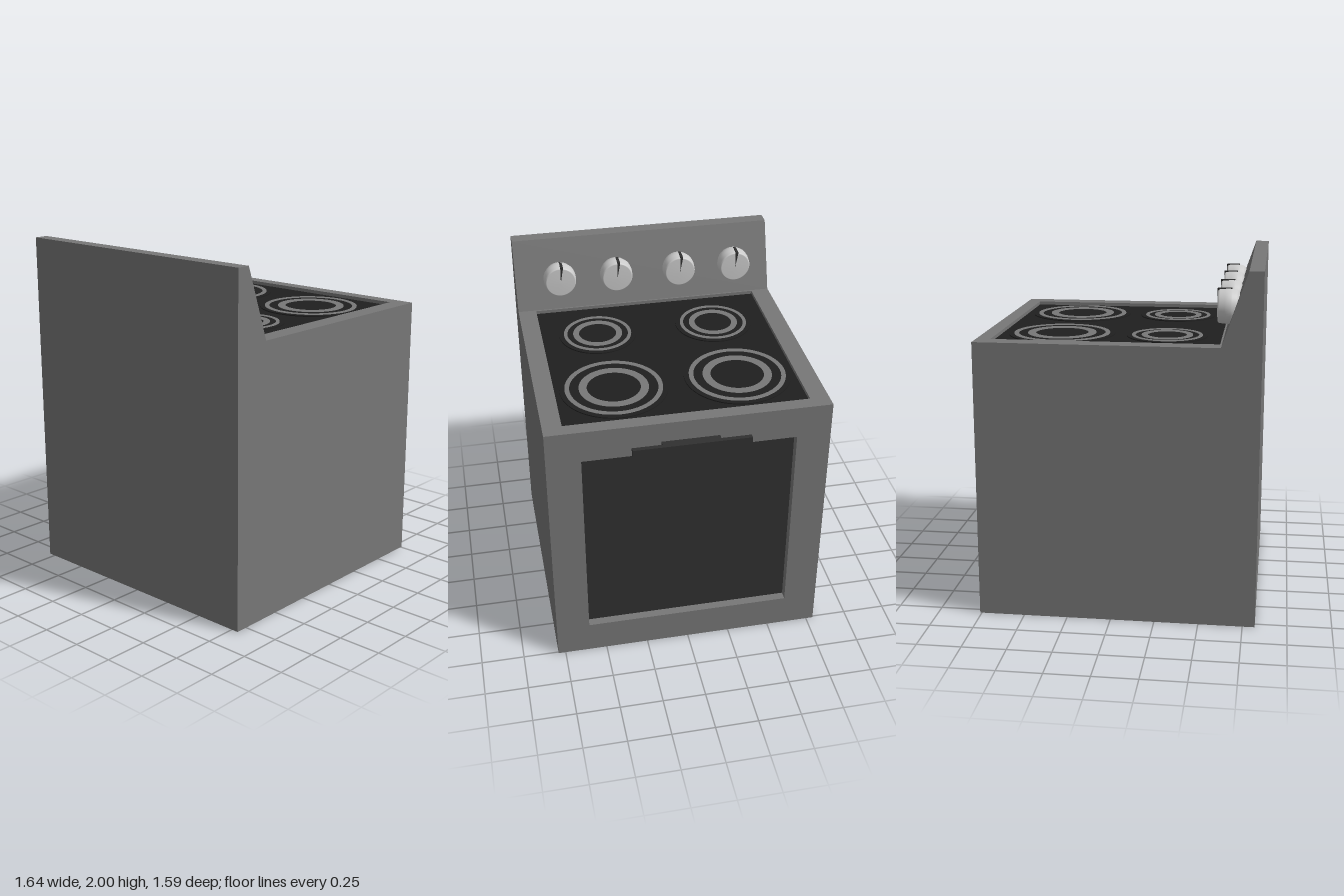
import * as THREE from 'three';
import { mergeGeometries } from 'three/addons/utils/BufferGeometryUtils.js';

const material = (color) => new THREE.MeshStandardMaterial({ color, side: THREE.DoubleSide });
const steel = material(0x777777);
const glass = material(0x1f1f1f);
const dark = material(0x303030);
const knobGrey = material(0xcccccc);

const W = 0.793; // half width of the stove along z
const BACK = -0.82, FRONT = 0.76, TOP = 1.59;

function add(parent, name, geometry, mat, x = 0, y = 0, z = 0) {
  const mesh = new THREE.Mesh(geometry, mat);
  mesh.name = name;
  mesh.position.set(x, y, z);
  parent.add(mesh);
  return mesh;
}

const shapeOf = (points) => new THREE.Shape(points.map(([x, y]) => new THREE.Vector2(x, y)));
const rect = (x0, y0, x1, y1) => [[x0, y0], [x1, y0], [x1, y1], [x0, y1]];

// Flat walls swept along z from an open line of points
function walls(points, z0, z1) {
  const position = [];
  for (let i = 0; i + 1 < points.length; i++) {
    const [p, q] = [points[i], points[i + 1]];
    position.push(...p, z0, ...q, z0, ...q, z1, ...p, z0, ...q, z1, ...p, z1);
  }
  const geometry = new THREE.BufferGeometry();
  geometry.setAttribute('position', new THREE.Float32BufferAttribute(position, 3));
  geometry.computeVertexNormals();
  return geometry;
}

// Frame in the xy plane with a sunken panel behind its opening
function recessedFace(name, outer, inner, depth, panelMaterial) {
  const group = new THREE.Group();
  group.name = name;
  const frame = shapeOf(rect(...outer));
  const hole = rect(...inner).reverse();
  frame.holes.push(shapeOf(hole));
  add(group, name + 'Frame', new THREE.ShapeGeometry(frame), steel);
  add(group, name + 'Reveal', walls([...hole, hole[0]], -depth, 0), steel);
  add(group, name + 'Panel', new THREE.ShapeGeometry(shapeOf(rect(...inner))), panelMaterial, 0, 0, -depth);
  return group;
}

function ring(inner, outer, height) {
  const profile = [[inner, 0], [inner, height], [outer, height], [outer, 0]];
  return new THREE.LatheGeometry(profile.map(([r, y]) => new THREE.Vector2(r, y)).reverse(), 48);
}

// Burner: thin dark disc with two grey heating rings
function makeBurner(discRadius, rings) {
  const burner = new THREE.Group();
  burner.name = 'burner';
  add(burner, 'burnerDisc', new THREE.CylinderGeometry(discRadius, discRadius, 0.006, 48), glass, 0, 0.003, 0);
  for (const [inner, outer] of rings) {
    const top = new THREE.RingGeometry(inner, outer, 48).rotateX(-Math.PI / 2).translate(0, 0.01, 0);
    const side = ring(inner, outer, 0.009);
    add(burner, 'heatingRing', mergeGeometries([top, side]), steel);
  }
  return burner;
}

// Knob: turned around x, with a rounded back, a collar and a pointer
function makeKnob() {
  const knob = new THREE.Group();
  knob.name = 'knob';
  const profile = [
    [0, -0.06], [0.05, -0.06], [0.075, -0.055], [0.088, -0.042], [0.093, -0.018], [0.098, -0.012],
    [0.099, 0.016], [0.096, 0.022], [0.095, 0.05], [0.091, 0.058], [0.086, 0.061], [0, 0.062],
  ].map(([r, y]) => new THREE.Vector2(r, y));
  add(knob, 'knobBody', new THREE.LatheGeometry(profile, 40).rotateZ(-Math.PI / 2), knobGrey);
  const wedge = shapeOf([[0, 0], [0.018, 0.096], [0.001, 0.098]]);
  const pointer = new THREE.ExtrudeGeometry(wedge, { depth: 0.08, bevelEnabled: false });
  add(knob, 'knobPointer', pointer.rotateY(Math.PI / 2), dark, -0.016, 0.002, 0);
  return knob;
}

export function createModel() {
  const stove = new THREE.Group();
  stove.name = 'stove';

  // Body sides, and the walls round the control panel, back and underside
  const outline = [[-0.6, TOP], [-0.74, 2], [BACK, 2], [BACK, 0], [FRONT, 0]];
  const side = new THREE.ShapeGeometry(shapeOf([...outline, [FRONT, TOP]]));
  for (const s of [-1, 1]) add(stove, 'bodySide', side, steel, 0, 0, s * W);
  add(stove, 'bodyShell', walls(outline, -W, W), steel);

  // Sunken glass cooktop
  const topDepth = 0.02;
  const cooktop = recessedFace('cooktop', [-0.6, -W, FRONT, W], [-0.59, -0.685, 0.68, 0.685], topDepth, glass);
  cooktop.rotation.x = -Math.PI / 2;
  cooktop.position.y = TOP;
  stove.add(cooktop);

  // Sunken oven door
  const door = recessedFace('ovenDoor', [-W, 0, W, TOP], [-0.6, 0.195, 0.6, 1.4], 0.05, dark);
  door.rotation.y = Math.PI / 2;
  door.position.x = FRONT;
  stove.add(door);

  // Two small burners at the back, two large ones at the front
  for (const z of [-0.36, 0.35]) {
    const small = makeBurner(0.23, [[0.112, 0.147], [0.182, 0.202]]);
    small.position.set(-0.273, TOP - topDepth, z);
    const large = makeBurner(0.305, [[0.152, 0.197], [0.25, 0.276]]);
    large.position.set(0.335, TOP - topDepth, z);
    stove.add(small, large);
  }

  // Control knobs
  for (const z of [-0.567, -0.217, 0.175, 0.525]) {
    const knob = makeKnob();
    knob.position.set(-0.63, 1.782, z);
    stove.add(knob);
  }

  // Oven handle: mount and bar
  add(stove, 'handleMount', new THREE.BoxGeometry(0.04, 0.04, 0.325), dark, 0.775, 1.452, 0);
  add(stove, 'handleBar', new THREE.BoxGeometry(0.027, 0.045, 0.66), dark, 0.805, 1.452, 0);

  return stove;
}
